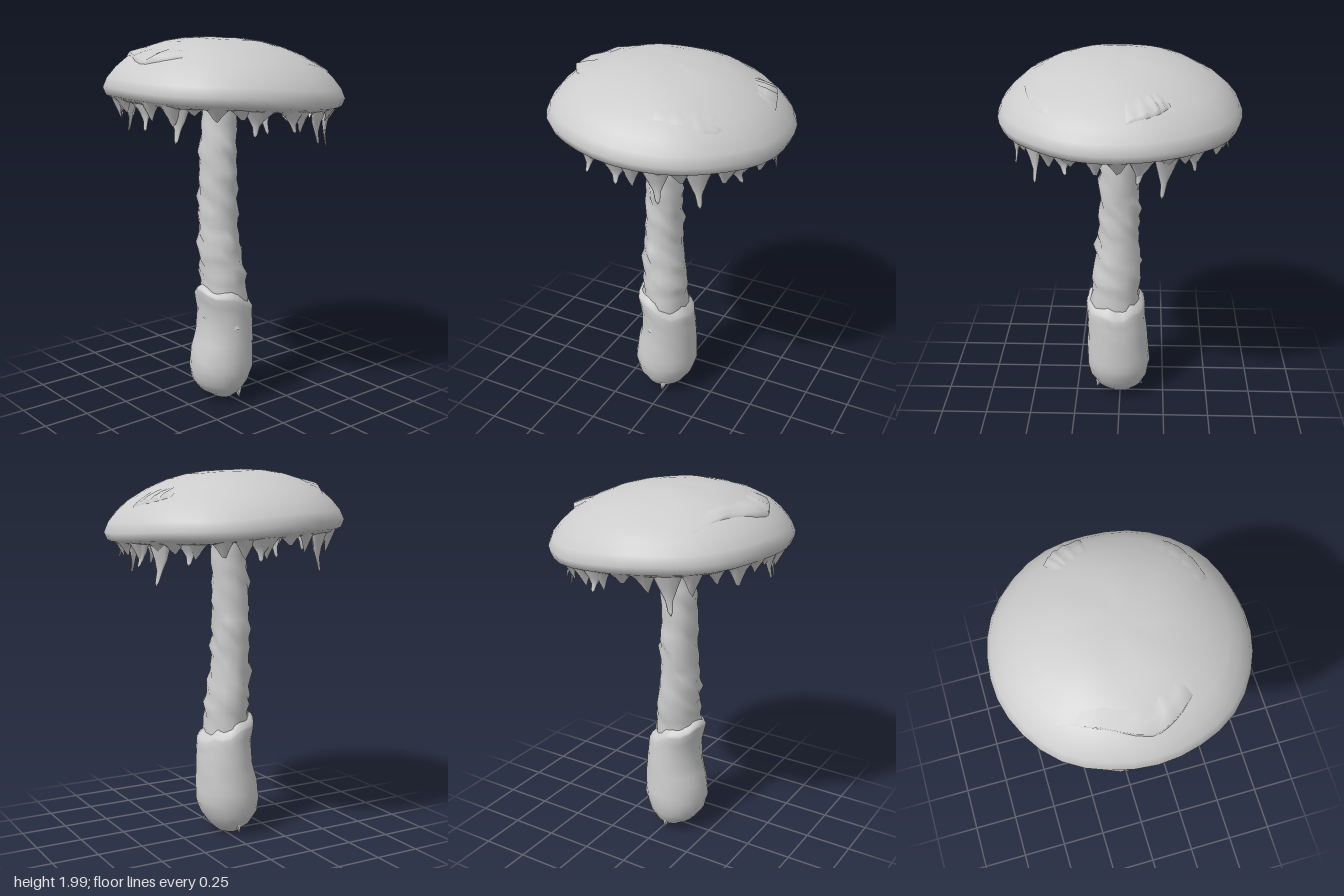
import * as THREE from 'three';
import { mergeVertices } from 'three/addons/utils/BufferGeometryUtils.js';

const grey = new THREE.MeshStandardMaterial({ color: 0xcccccc, side: THREE.DoubleSide });
grey.name = 'pale grey';

function seeded(seed) {
  return () => {
    seed = (seed * 16807) % 2147483647;
    return seed / 2147483647;
  };
}

// Join the lathe seam, move every vertex by a rule, then smooth the normals.
function reshape(geometry, rule) {
  geometry.deleteAttribute('uv');
  geometry.deleteAttribute('normal');
  const g = mergeVertices(geometry, 1e-4);
  const p = g.attributes.position;
  const v = new THREE.Vector3();
  for (let i = 0; i < p.count; i++) {
    rule(v.fromBufferAttribute(p, i));
    p.setXYZ(i, v.x, v.y, v.z);
  }
  g.computeVertexNormals();
  return g;
}

// Sheet over a grid of points: at(i, k) gives the point in column i, row k
function sheet(columns, rows, at) {
  const pos = [], idx = [];
  for (let i = 0; i <= columns; i++) {
    for (let k = 0; k < rows; k++) {
      pos.push(...at(i, k));
      if (i === columns || k === rows - 1) continue;
      const a = i * rows + k;
      idx.push(a, a + 1, a + rows, a + 1, a + rows + 1, a + rows);
    }
  }
  const g = new THREE.BufferGeometry();
  g.setAttribute('position', new THREE.Float32BufferAttribute(pos, 3));
  g.setIndex(idx);
  g.computeVertexNormals();
  return g;
}

function part(name, geometry) {
  const mesh = new THREE.Mesh(geometry, grey);
  mesh.name = name;
  return mesh;
}

const TILT = 0.064;
const OUTER = [[0, 1.992], [0.1, 1.992], [0.2, 1.982], [0.3, 1.96], [0.4, 1.923],
  [0.5, 1.868], [0.56, 1.815], [0.605, 1.76], [0.626, 1.71]];
const INNER = [[0, 1.82], [0.1, 1.82], [0.3, 1.785], [0.45, 1.725], [0.52, 1.675],
  [0.565, 1.65], [0.61, 1.67]];

// Height of the cap's top at radius r
function capHeight(r) {
  let i = 0;
  while (i < OUTER.length - 2 && r > OUTER[i + 1][0]) i++;
  const t = (r - OUTER[i][0]) / (OUTER[i + 1][0] - OUTER[i][0]);
  return THREE.MathUtils.lerp(OUTER[i][1], OUTER[i + 1][1], t);
}

// Tilted cap with a rolled rim and a hollow underside
function makeCap() {
  const points = [...INNER, ...[...OUTER].reverse()].map(([r, y]) => new THREE.Vector2(r, y));
  return part('cap', reshape(new THREE.LatheGeometry(points, 36), (v) => {
    const a = Math.atan2(v.z, v.x);
    const r = Math.hypot(v.x, v.z);
    const wobble = 1.009 - 0.008 * Math.cos(4 * a) + 0.003 * Math.sin(9 * a);
    v.y += TILT * v.z + 0.007 * r * Math.sin(5 * a + 9 * r);
    v.x *= wobble;
    v.z *= wobble;
  }));
}

// Lifted edges of torn skin on top of the cap
function makeFlap(path, lift) {
  const curve = new THREE.CatmullRomCurve3(path.map(([x, z]) => new THREE.Vector3(x, 0, z)));
  const n = 12;
  return part('tornSkin', sheet(n, 4, (i, k) => {
    const c = curve.getPoint(i / n);
    const r = c.length();
    const edge = lift * Math.sin(Math.PI * (i + 1) / (n + 2)) * (0.75 + 0.25 * Math.cos(i * 2.3));
    const inset = [0.14, 0.06, 0, 0][k];
    const up = [-0.004, edge * 0.5, edge, -0.01][k];
    const s = 1 - inset / r;
    return [c.x * s, capHeight(r - inset) + TILT * c.z * s + up, c.z * s];
  }));
}

// Ragged veil hanging all round from under the rim
function makeVeil() {
  const rand = seeded(77);
  const teeth = 30, steps = 6, n = teeth * steps;
  const depth = Array.from({ length: teeth }, () => 0.045 + 0.085 * rand());
  const lean = Array.from({ length: teeth }, () => 0.35 + 0.3 * rand());
  return part('veil', sheet(n, 4, (i, k) => {
    const tooth = Math.floor(i / steps) % teeth;
    const t = (i % steps) / steps;
    const peak = t < lean[tooth] ? t / lean[tooth] : (1 - t) / (1 - lean[tooth]);
    const drop = 0.02 + depth[tooth] * peak ** 1.3;
    const a = i / n * Math.PI * 2;
    const r = 0.6 - 0.045 * k / 3 + 0.012 * Math.sin(a * 11) - 0.015 * peak * (k / 3);
    const z = Math.sin(a) * r;
    return [Math.cos(a) * r, 1.675 + TILT * z - drop * k / 3, z];
  }));
}

// A long flattened drip hanging from (x, top, z), wide side along the rim
function makeDrip(x, z, top, tip, width, bend) {
  const profile = [[0, -1], [0.16, -0.9], [0.25, -0.65], [0.55, -0.4], [1, 0]]
    .map(([r, y]) => new THREE.Vector2(r, y));
  const drip = part('drip', reshape(new THREE.LatheGeometry(profile, 8), (v) => {
    const s = -v.y;
    v.x = v.x * width + bend * s * s;
    v.z = v.z * Math.min(width * 0.4, 0.026) - 0.015 * Math.sin(s * 3);
    v.y *= top - tip;
  }));
  drip.position.set(x, top, z);
  drip.rotation.y = Math.atan2(x, z);
  return drip;
}

function makeDrips() {
  const drips = new THREE.Group();
  drips.name = 'drips';
  const rand = seeded(5);
  // Long drips: x, z, tip height
  const long = [[-0.24, -0.49, 1.41], [0.42, -0.35, 1.43], [-0.49, 0.28, 1.47], [0.24, 0.48, 1.5],
    [0.53, -0.18, 1.47], [-0.12, -0.54, 1.5], [0.51, 0.2, 1.54], [-0.56, -0.1, 1.54],
    [-0.38, -0.4, 1.52], [0.05, 0.55, 1.55], [0.27, -0.49, 1.53], [0.57, 0.02, 1.55]];
  for (const [x, z, tip] of long) {
    drips.add(makeDrip(x, z, 1.67 + TILT * z, tip, 0.075, (rand() - 0.5) * 0.06));
  }
  // Scraps left round the top of the stem
  for (let i = 0; i < 6; i++) {
    const a = i / 6 * Math.PI * 2 + rand() * 0.4;
    drips.add(makeDrip(Math.cos(a) * 0.105, 0.03 + Math.sin(a) * 0.1, 1.72, 1.6 + rand() * 0.05, 0.05, 0.015));
  }
  return drips;
}

// Skin over cross-sections given as [y, xMin, xMax, zMin, zMax]
function skin(rows, steps, sides, rough, seed, extra = () => {}) {
  const rand = seeded(seed);
  const points = [];
  for (let i = 0; i <= steps; i++) points.push(new THREE.Vector2(1, i / steps));
  return reshape(new THREE.LatheGeometry(points, sides), (v) => {
    const f = v.y * (rows.length - 1);
    const i = Math.min(Math.floor(f), rows.length - 2);
    const [y, x0, x1, z0, z1] = rows[i].map((a, k) => a + (rows[i + 1][k] - a) * (f - i));
    const bump = 1 + rough * (rand() - 0.5) + (rand() > 0.93 ? rough : 0);
    v.set((x0 + x1) / 2 + v.x * (x1 - x0) / 2 * bump, y, (z0 + z1) / 2 + v.z * (z1 - z0) / 2 * bump);
    extra(v);
  });
}

// Rough, gently leaning stem
function makeStem() {
  const rows = [[0.45, -0.11, 0.165, -0.1, 0.14], [0.65, -0.11, 0.163, -0.095, 0.155],
    [0.82, -0.11, 0.142, -0.08, 0.152], [1.0, -0.107, 0.12, -0.054, 0.15],
    [1.2, -0.103, 0.11, -0.055, 0.145], [1.4, -0.1, 0.11, -0.055, 0.138],
    [1.6, -0.097, 0.092, -0.06, 0.12], [1.86, -0.095, 0.095, -0.065, 0.115]];
  return part('stem', skin(rows, 28, 14, 0.14, 41));
}

// Swollen base sheath whose slanting lip closes onto the stem
function makeSheath() {
  const rows = [[0.005, 0, 0.01, 0.02, 0.03], [0.02, -0.08, 0.085, -0.035, 0.085],
    [0.06, -0.125, 0.135, -0.08, 0.145], [0.12, -0.158, 0.172, -0.12, 0.19],
    [0.2, -0.17, 0.19, -0.148, 0.207], [0.3, -0.163, 0.188, -0.146, 0.195],
    [0.4, -0.153, 0.183, -0.143, 0.165], [0.5, -0.143, 0.183, -0.138, 0.16],
    [0.58, -0.138, 0.19, -0.134, 0.182], [0.605, -0.125, 0.178, -0.115, 0.17],
    [0.625, -0.105, 0.155, -0.085, 0.145]];
  return part('baseSheath', skin(rows, 20, 20, 0.02, 9, (v) => {
    const top = THREE.MathUtils.smoothstep(v.y, 0.35, 0.58);
    v.y += top * (0.36 * (v.z - 0.02) + 0.012 * Math.sin(5 * Math.atan2(v.z, v.x)));
  }));
}

export function createModel() {
  const model = new THREE.Group();
  model.name = 'mushroom';
  model.add(makeCap(), makeVeil(), makeDrips(), makeStem(), makeSheath());
  // Torn skin paths as [x, z] over the cap
  model.add(
    makeFlap([[-0.4, 0.36], [-0.22, 0.44], [0, 0.53], [0.12, 0.49], [0.22, 0.41]], 0.035),
    makeFlap([[0.3, -0.44], [0.38, -0.39], [0.44, -0.27], [0.47, -0.14]], 0.022),
    makeFlap([[-0.25, -0.43], [-0.18, -0.49], [-0.04, -0.54]], 0.045),
    makeFlap([[0.33, 0.35], [0.4, 0.34], [0.45, 0.27]], 0.012),
  );
  // Tiny nubs under the base
  for (const [x, z] of [[-0.115, 0.03], [0.125, 0.0]]) {
    const nub = part('baseNub', new THREE.ConeGeometry(0.035, 0.08, 6));
    nub.position.set(x, 0.06, z);
    nub.rotation.z = Math.PI + (x > 0 ? 0.3 : -0.3);
    model.add(nub);
  }
  return model;
}
